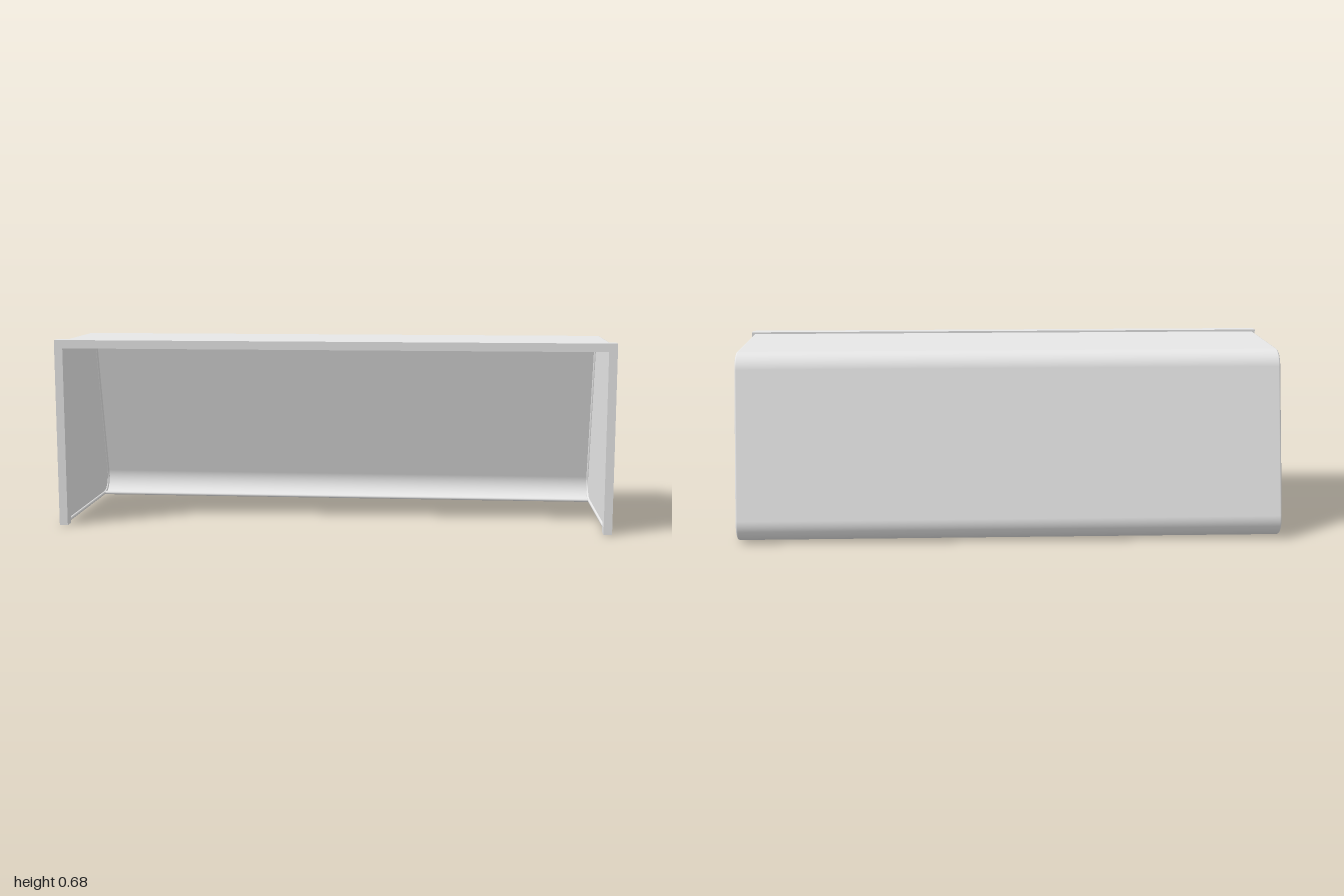
import * as THREE from 'three';

const FRAME_BACK = 0.28, FRAME_FRONT = 0.32; // depth range of the front frame
const BAR = 0.0065, SIDE_X = 0.985, R = 0.065;

// Side outline in (z, y): top edge, rounded corner, sloped back, rounded foot
function outline(radius) {
  const lean = Math.PI - Math.atan2(0.13, 0.53);
  const path = new THREE.Path();
  path.moveTo(FRAME_BACK, 0.6015 + radius);
  path.lineTo(-0.12, 0.6015 + radius);
  path.absarc(-0.12, 0.6015, radius, Math.PI / 2, lean, false);
  path.absarc(-0.25, 0.0715, radius, lean, Math.PI * 1.5, false);
  return path.getPoints(16);
}

export function createModel() {
  const group = new THREE.Group();
  const white = new THREE.MeshStandardMaterial({ color: 0xe7e7e7, side: THREE.DoubleSide });
  white.name = 'white';

  const add = (name, geometry, x = 0, y = 0, z = 0) => {
    const mesh = new THREE.Mesh(geometry, white);
    mesh.name = name;
    mesh.position.set(x, y, z);
    group.add(mesh);
  };

  // Front frame crossbar
  const depth = FRAME_FRONT - FRAME_BACK, zMid = (FRAME_FRONT + FRAME_BACK) / 2;
  add('crossbar', new THREE.BoxGeometry(2, 0.03, depth), 0, 0.665, zMid);

  // Side outline carried on along the ground, used for the bent rail and the side net
  const side = [...outline(R), new THREE.Vector2(FRAME_BACK, BAR)];
  const rail = new THREE.CurvePath();
  for (let i = 1; i < side.length; i++) {
    const a = side[i - 1], b = side[i];
    if (a.distanceTo(b) < 1e-5) continue;
    rail.add(new THREE.LineCurve3(new THREE.Vector3(0, a.y, a.x), new THREE.Vector3(0, b.y, b.x)));
  }
  const railGeometry = new THREE.TubeGeometry(rail, 220, BAR, 12, false);
  const netGeometry = new THREE.ShapeGeometry(new THREE.Shape(side));
  netGeometry.rotateY(-Math.PI / 2);

  // Posts, rails and side nets
  for (const [label, s] of [['left', 1], ['right', -1]]) {
    add(label + 'Post', new THREE.BoxGeometry(0.03, 0.65, depth), s * 0.985, 0.325, zMid);
    add(label + 'Rail', railGeometry, s * SIDE_X);
    add(label + 'Net', netGeometry, s * SIDE_X);
  }

  // Top and back net: one sheet lying flush with the outside of the rails
  const points = outline(R + BAR);
  const sheet = new THREE.PlaneGeometry(1, 1, 1, points.length - 1);
  const pos = sheet.attributes.position;
  for (let i = 0; i < pos.count; i++) {
    const p = points[Math.floor(i / 2)];
    pos.setXYZ(i, i % 2 ? -SIDE_X : SIDE_X, p.y, p.x);
  }
  sheet.computeVertexNormals();
  add('backNet', sheet);

  // Rear ground bar
  const bar = new THREE.CylinderGeometry(BAR, BAR, 2 * SIDE_X, 12);
  bar.rotateZ(Math.PI / 2);
  add('groundBar', bar, 0, BAR, -0.25);

  return group;
}
